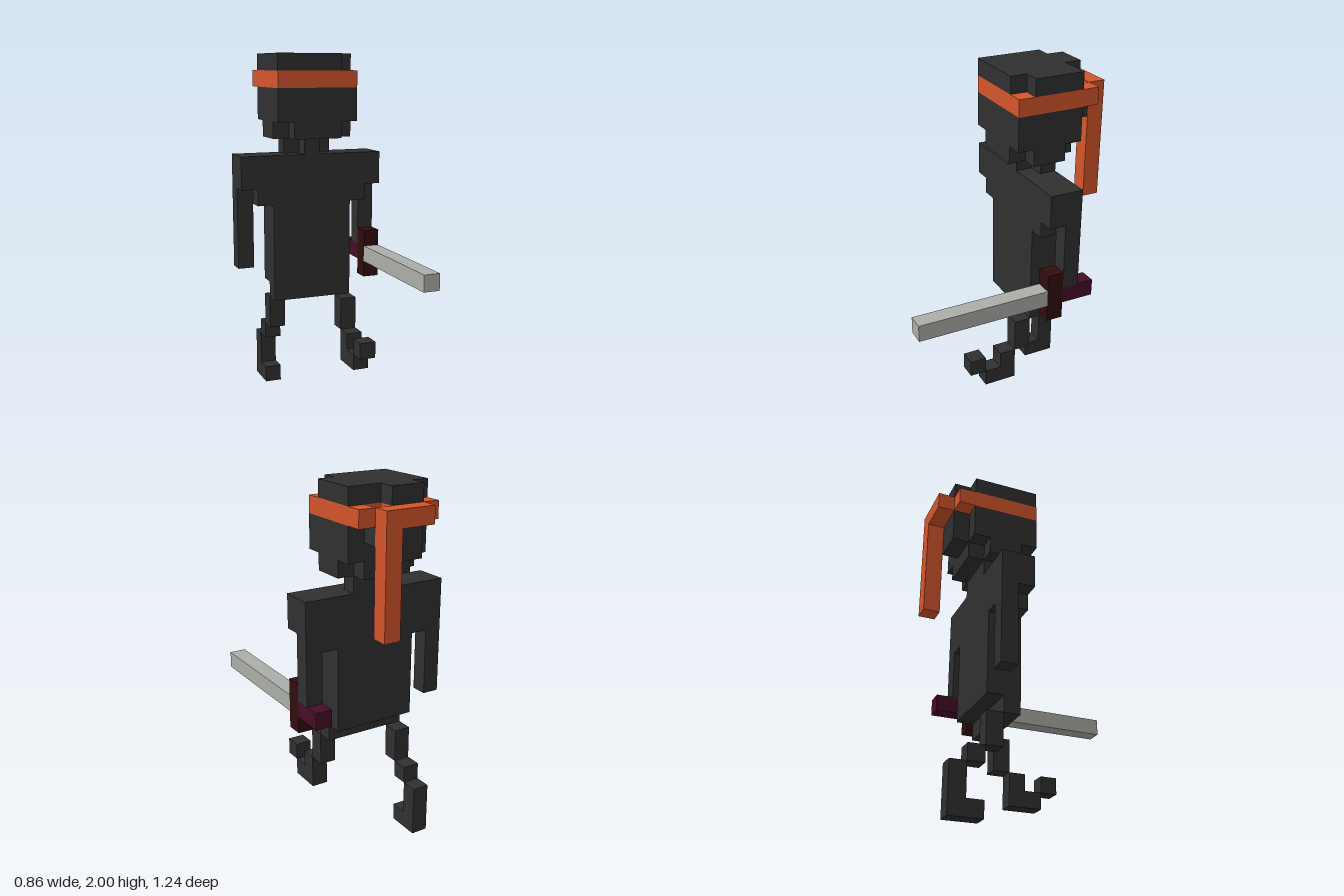
import * as THREE from 'three';

const U = 2 / 21; // one block

const material = (name, color) => {
  const m = new THREE.MeshStandardMaterial({ color });
  m.name = name;
  return m;
};

export function createModel() {
  const model = new THREE.Group();
  model.name = 'swordFighter';

  const black = material('charcoal', 0x303030);
  const orange = material('orange', 0xd4552c);
  const steel = material('steel', 0xacaea8);
  const darkRed = material('darkRed', 0x310d0e);
  const plum = material('plum', 0x470d27);

  // A named part made of boxes given in block units: [x0, x1, y0, y1, z0, z1]
  const part = (name, mat, ...boxes) => {
    const group = new THREE.Group();
    group.name = name;
    for (const [x0, x1, y0, y1, z0, z1] of boxes) {
      const geo = new THREE.BoxGeometry((x1 - x0) * U, (y1 - y0) * U, (z1 - z0) * U);
      const mesh = new THREE.Mesh(geo, mat);
      mesh.name = name + 'Block';
      mesh.position.set((x0 + x1) / 2 * U, (y0 + y1) / 2 * U, (z0 + z1) / 2 * U);
      group.add(mesh);
    }
    model.add(group);
  };

  // Head: chin layer without corners, face, crown with a notched front corner
  part('chin', black, [-1.5, 1.5, 16, 17, -4.5, -0.5], [-2.5, -1.5, 16, 17, -3.5, -1.5], [1.5, 2.5, 16, 17, -3.5, -1.5]);
  part('face', black, [-2.5, 2.5, 17, 19, -4.5, -0.5]);
  part('crown', black, [-2.5, 1.5, 20, 21, -4.5, -0.5], [1.5, 2.5, 20, 21, -4.5, -1.5], [-1.5, 0.5, 20, 21, -5.5, -4.5]);
  part('backOfHead', black, [-1.5, 1.5, 18, 19, -5.5, -4.5], [-1.5, 0.5, 17, 18, -5.5, -4.5]);

  // Headband with its knot and hanging tail
  part('headband', orange, [-2.5, 2.5, 19, 20, -4.5, -0.5], [-2.5, 0.5, 19, 20, -5.5, -4.5], [1.5, 2.5, 19, 20, -5.5, -4.5]);
  part('headbandKnot', orange, [-1.5, 0.5, 19, 20, -6.5, -5.5]);
  part('headbandTail', orange, [0.5, 1.5, 13, 20, -6.5, -5.5]);

  // Neck, torso and shoulders
  part('neck', black, [-1.5, 1.5, 15, 16, -3.5, -2.5], [-0.5, 0.5, 15, 16, -2.5, -1.5]);
  part('torso', black, [-2.5, 2.5, 7, 15, -3.5, -1.5], [-2.5, 2.5, 6, 7, -2.5, -1.5]);
  for (const [side, s] of [['left', 1], ['right', -1]]) {
    const span = (a, b) => (s > 0 ? [a, b] : [-b, -a]);
    part(side + 'Shoulder', black,
      [...span(2.5, 4.5), 13, 15, -3.5, -1.5],
      [...span(2.5, 3.5), 12, 13, -3.5, -1.5]);
    part(side + 'Arm', black, [...span(3.5, 4.5), s > 0 ? 9 : 8, 13, -3.5, -2.5]);
  }

  // Sword held forward in the left hand
  part('swordHandle', plum, [3.5, 4.5, 8, 9, -4.5, -2.5]);
  part('swordGuard', darkRed, [3.5, 4.5, 7, 10, -2.5, -1.5]);
  part('swordBlade', steel, [3.5, 4.5, 8, 9, -1.5, 6.5]);

  // Raised left leg, stepping forward
  part('leftLeg', black,
    [1.5, 2.5, 4, 6, -1.5, -0.5], [1.5, 2.5, 2, 4, -0.5, 0.5],
    [1.5, 2.5, 2, 3, 0.5, 1.5], [1.5, 2.5, 3, 4, 1.5, 2.5]);

  // Trailing right leg
  part('rightLeg', black,
    [-2.5, -1.5, 4, 6, -3.5, -2.5], [-2.5, -1.5, 3, 4, -4.5, -3.5],
    [-2.5, -1.5, 0, 3, -5.5, -4.5], [-2.5, -1.5, 0, 1, -4.5, -3.5]);

  return model;
}
